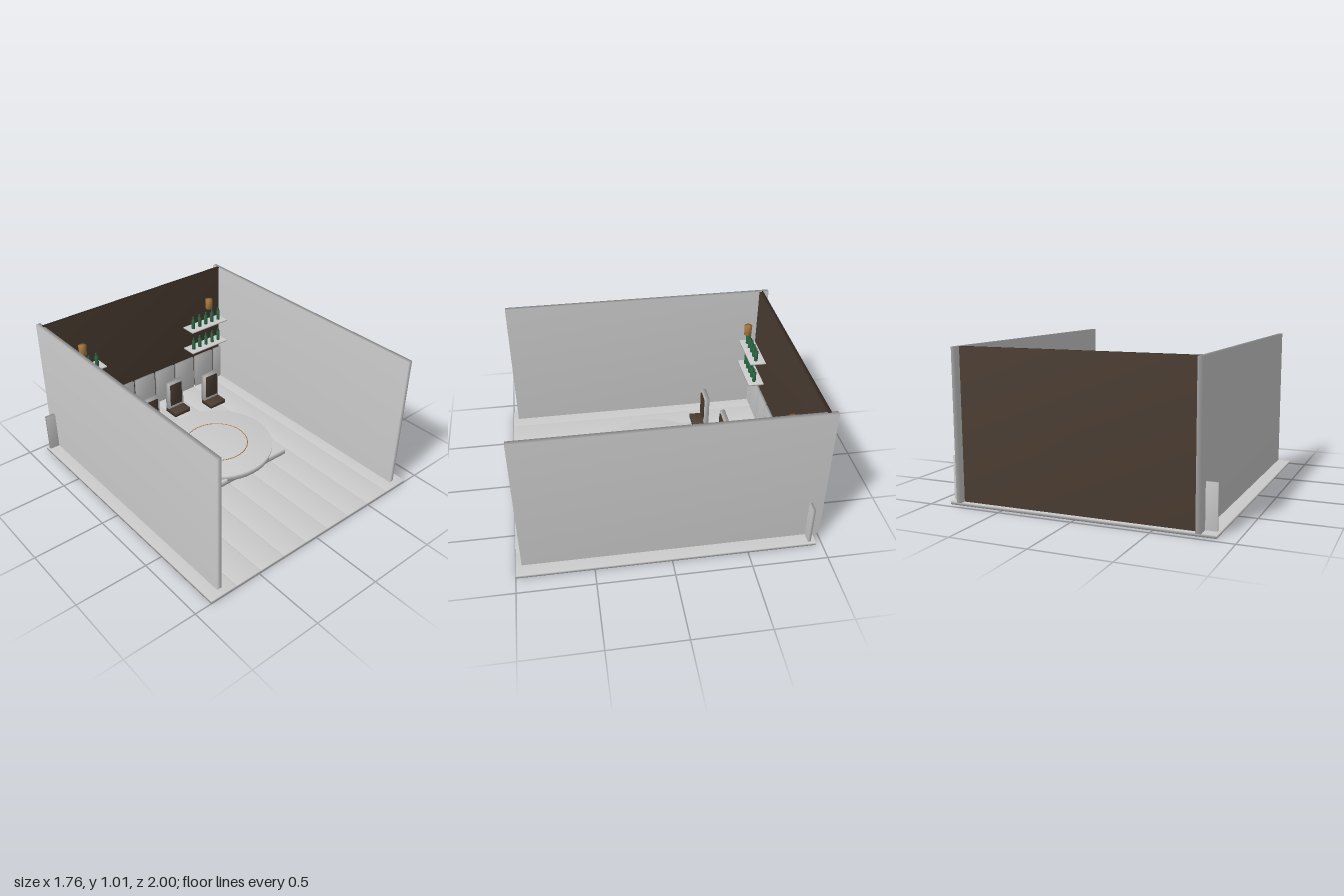
import * as THREE from 'three';
import { mergeVertices } from 'three/addons/utils/BufferGeometryUtils.js';

const paint = (color) => new THREE.MeshStandardMaterial({ color });

export function createModel() {
  const grey = paint(0xcccccc);
  const brown = paint(0x4a3c31);
  const green = paint(0x2d6a45);
  const gold = paint(0xa87840);
  const model = new THREE.Group();

  // Shared corners give the soft, blended shading across edges
  function soften(geometry) {
    geometry.deleteAttribute('normal');
    geometry.deleteAttribute('uv');
    const merged = mergeVertices(geometry, 1e-5);
    merged.computeVertexNormals();
    return merged;
  }

  function add(parent, name, geometry, material, x = 0, y = 0, z = 0) {
    const mesh = new THREE.Mesh(geometry, material);
    mesh.name = name;
    mesh.position.set(x, y, z);
    parent.add(mesh);
    return mesh;
  }

  // Box given by its extents on each axis
  function box(parent, name, material, [x0, x1], [y0, y1], [z0, z1]) {
    const geometry = soften(new THREE.BoxGeometry(x1 - x0, y1 - y0, z1 - z0));
    return add(parent, name, geometry, material, (x0 + x1) / 2, (y0 + y1) / 2, (z0 + z1) / 2);
  }

  function group(name, parent = model) {
    const g = new THREE.Group();
    g.name = name;
    parent.add(g);
    return g;
  }

  // Floor planks and the wainscot panels lined up with them
  const floor = group('floor');
  const wainscot = group('wainscot');
  for (let i = -4; i <= 4; i++) {
    const x = i * 0.196;
    box(floor, 'floorPlank', grey, [x - 0.096, x + 0.096], [0, 0.02], [-0.957, 1]);
    box(wainscot, 'wainscotPanel', grey, [x - 0.089, x + 0.089], [0.03, 0.31], [-0.922, -0.903]);
  }

  // Walls
  box(model, 'backWall', brown, [-0.78, 0.78], [0.03, 1.01], [-0.96, -0.93]);
  box(model, 'leftWall', grey, [0.77, 0.802], [0.03, 1.01], [-1, 0.96]);
  box(model, 'rightWall', grey, [-0.802, -0.77], [0.03, 1.01], [-1, 0.96]);

  // Stage: square base, round top and inlaid ring
  const stage = group('stage');
  stage.position.z = -0.02;
  box(stage, 'stageBase', grey, [-0.35, 0.35], [0.12, 0.165], [-0.35, 0.35]);
  add(stage, 'stageTop', soften(new THREE.CylinderGeometry(0.4, 0.4, 0.043, 48)), grey, 0, 0.1685, 0);
  const ring = add(stage, 'stageRing', new THREE.TorusGeometry(0.222, 0.003, 8, 64), gold, 0, 0.19, 0);
  ring.rotation.x = Math.PI / 2;

  // Chairs, the middle one set further back
  for (const [x, z] of [[-0.275, -0.338], [0, -0.418], [0.275, -0.338]]) {
    const chair = group('chair');
    chair.position.set(x, 0, z);
    box(chair, 'chairSeat', brown, [-0.069, 0.069], [0.22, 0.25], [-0.112, 0]);
    box(chair, 'chairBack', grey, [-0.068, 0.068], [0.25, 0.467], [-0.115, -0.082]);
    box(chair, 'chairBackPad', brown, [-0.05, 0.05], [0.275, 0.45], [-0.09, -0.074]);
  }

  // Shelves with bottles, and a lamp above each pair
  const bottleBody = soften(new THREE.CylinderGeometry(0.014, 0.014, 0.077, 12));
  const bottleNeck = soften(new THREE.CylinderGeometry(0.006, 0.007, 0.03, 10));
  const lampShade = soften(new THREE.CylinderGeometry(0.029, 0.026, 0.075, 16));
  for (const side of [-1, 1]) {
    const bar = group(side > 0 ? 'leftShelves' : 'rightShelves');
    bar.position.x = side * 0.57;
    for (const y of [0.42, 0.605]) {
      box(bar, 'shelf', grey, [-0.175, 0.175], [y, y + 0.011], [-0.912, -0.796]);
      for (let i = -2; i <= 2; i++) {
        const bottle = group('bottle', bar);
        bottle.position.set(i * 0.063, y + 0.011, -0.848);
        add(bottle, 'bottleBody', bottleBody, green, 0, 0.0385, 0);
        add(bottle, 'bottleNeck', bottleNeck, green, 0, 0.088, 0);
      }
    }
    add(bar, 'lamp', lampShade, gold, 0, 0.808, -0.806);
  }

  return model;
}
